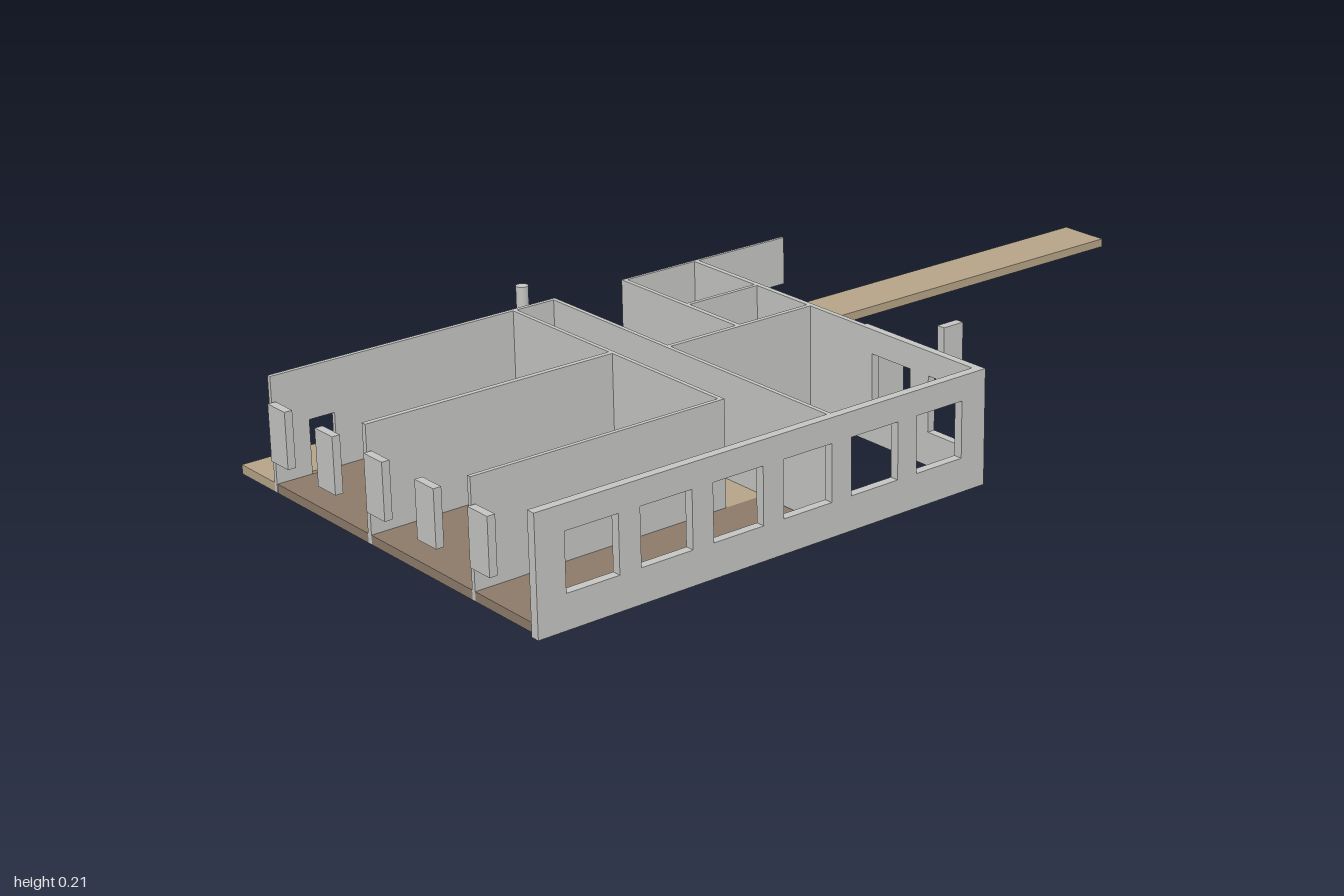
import * as THREE from 'three';

const mat = (name, color) => {
  const m = new THREE.MeshStandardMaterial({ color });
  m.name = name;
  return m;
};

export function createModel() {
  const model = new THREE.Group();
  model.name = 'floorPlanBuilding';
  const plaster = mat('light grey plaster', 0xc4c4c2);
  const wood = mat('brown floor', 0x8c7a69);
  const paving = mat('tan paving', 0xb5a387);
  const H = 0.21, FLOOR = 0.017, SILL = 0.062, HEAD = 0.165;

  // Box given by its limits on each axis
  const block = (name, material, [x0, x1], [y0, y1], [z0, z1]) => {
    const mesh = new THREE.Mesh(new THREE.BoxGeometry(x1 - x0, y1 - y0, z1 - z0), material);
    mesh.position.set((x0 + x1) / 2, (y0 + y1) / 2, (z0 + z1) / 2);
    mesh.name = name;
    model.add(mesh);
    return mesh;
  };

  // Upright wall with openings [from, to], extruded towards +z
  const piercedWall = (name, length, depth, openings) => {
    const shape = new THREE.Shape();
    shape.moveTo(0, 0).lineTo(length, 0).lineTo(length, H).lineTo(0, H).closePath();
    for (const [a, b] of openings) {
      const hole = new THREE.Path();
      hole.moveTo(a, SILL).lineTo(a, HEAD).lineTo(b, HEAD).lineTo(b, SILL).closePath();
      shape.holes.push(hole);
    }
    const geo = new THREE.ExtrudeGeometry(shape, { depth, bevelEnabled: false });
    const mesh = new THREE.Mesh(geo, plaster);
    mesh.name = name;
    model.add(mesh);
    return mesh;
  };

  // Room floors, corridor and long walkway
  const floors = [
    ['backRoomFloor', wood, -0.99, -0.495, -0.32, -0.045],
    ['middleRoomFloor', wood, -0.99, -0.495, -0.035, 0.248],
    ['frontRoomFloor', wood, -0.99, -0.41, 0.256, 0.418],
    ['walkway', paving, -0.99, 1, -0.435, -0.33],
    ['corridorFloor', paving, -0.487, -0.407, -0.322, 0.256],
    ['entranceFloor', paving, -0.399, -0.249, -0.33, -0.006],
    ['smallRoomFloor', plaster, -0.24, -0.085, -0.324, -0.152],
    ['landingFloor', plaster, -0.399, -0.085, 0.003, 0.08],
  ];
  for (const [name, m, x0, x1, z0, z1] of floors) block(name, m, [x0, x1], [0, FLOOR], [z0, z1]);

  // Front wall with six windows
  const frontWindows = [];
  for (let i = 0; i < 6; i++) frontWindows.push([0.055 + i * 0.144, 0.157 + i * 0.144]);
  piercedWall('frontWall', 0.93, 0.017, frontWindows).position.set(-1, 0, 0.418);

  // Windowed part of the left side wall, running from front to back
  const sideWall = piercedWall('leftWindowWall', 0.281, 0.015, [[0.008, 0.107], [0.153, 0.251]]);
  sideWall.rotation.y = Math.PI / 2;
  sideWall.position.set(-0.085, 0, 0.418);

  // Solid walls and partitions
  const walls = [
    ['leftSolidWall', -0.085, -0.075, -0.324, 0.137],
    ['frontRoomPartition', -0.99, -0.495, 0.248, 0.256],
    ['middleRoomPartition', -0.99, -0.495, -0.045, -0.035],
    ['corridorRightWall', -0.495, -0.487, -0.33, 0.256],
    ['corridorLeftWall', -0.407, -0.399, -0.33, 0.418],
    ['corridorEndWall', -0.487, -0.407, -0.33, -0.322],
    ['landingWall', -0.399, -0.085, -0.006, 0.003],
    ['entranceWall', -0.249, -0.24, -0.33, -0.006],
    ['smallRoomPartition', -0.24, -0.085, -0.152, -0.144],
  ];
  for (const [name, x0, x1, z0, z1] of walls) block(name, plaster, [x0, x1], [0, H], [z0, z1]);

  // Back walls, each with a low opening
  const back = [-0.33, -0.322];
  block('backRoomWall', plaster, [-0.87, -0.495], [0, H], back);
  block('backRoomWallEnd', plaster, [-0.99, -0.92], [0, H], back);
  block('backRoomLintel', plaster, [-0.92, -0.87], [0.115, H], back);
  block('backLeftWall', plaster, [-0.24, 0.08], [0, H], [-0.33, -0.324]);
  block('backLeftLintel', plaster, [0.08, 0.13], [0.118, H], [-0.33, -0.324]);

  // Window piers along the open right side
  for (let i = 0; i < 5; i++) {
    const z = -0.318 + i * 0.1445;
    block('rightWindowPier', plaster, [-1, -0.985], [SILL, HEAD], [z, z + 0.052]);
  }

  // Detached piers beyond the left wall
  block('outerPier', plaster, [-0.07, 0.003], [SILL, HEAD], [0.135, 0.152]);
  block('outerPier', plaster, [0.1, 0.146], [SILL, HEAD], [0.135, 0.152]);

  // Round column on the walkway
  const column = new THREE.Mesh(new THREE.CylinderGeometry(0.0115, 0.0115, H - FLOOR, 24), plaster);
  column.position.set(-0.403, (H + FLOOR) / 2, -0.4235);
  column.name = 'column';
  model.add(column);

  return model;
}
